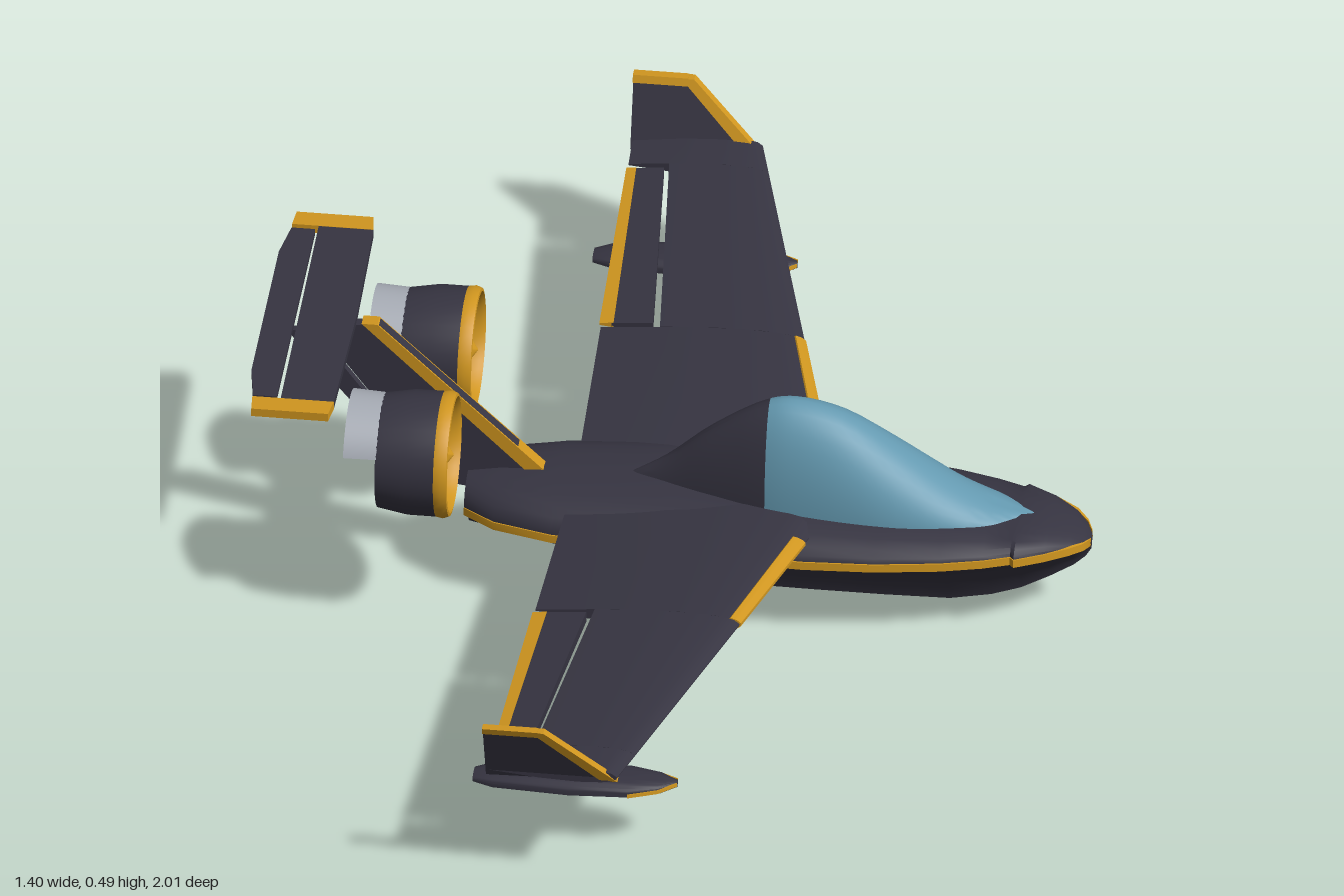
import * as THREE from 'three';
import { toCreasedNormals } from 'three/addons/utils/BufferGeometryUtils.js';

const material = (name, color, side = THREE.FrontSide) => {
  const m = new THREE.MeshStandardMaterial({ color, side });
  m.name = name;
  return m;
};

// Skin closed rings of [x, y, z] points and cap both ends
function loft(rings) {
  const n = rings[0].length, pos = rings.flat(2), idx = [];
  for (let i = 0; i < rings.length - 1; i++) {
    for (let j = 0; j < n; j++) {
      const a = i * n + j, b = i * n + (j + 1) % n;
      idx.push(a, b, a + n, b, b + n, a + n);
    }
  }
  const last = rings.length - 1;
  [0, last].forEach((r) => {
    const centre = pos.length / 3;
    for (let k = 0; k < 3; k++) pos.push(rings[r].reduce((t, p) => t + p[k], 0) / n);
    for (let j = 0; j < n; j++) {
      const a = r * n + j, b = r * n + (j + 1) % n;
      idx.push(...(r === 0 ? [b, a, centre] : [a, b, centre]));
    }
  });
  // Turn the faces outward if the enclosed volume is negative
  const v = (i) => new THREE.Vector3().fromArray(pos, i * 3);
  let volume = 0;
  for (let i = 0; i < idx.length; i += 3) volume += v(idx[i]).dot(v(idx[i + 1]).cross(v(idx[i + 2])));
  if (volume < 0) idx.reverse();
  const g = new THREE.BufferGeometry();
  g.setAttribute('position', new THREE.Float32BufferAttribute(pos, 3));
  g.setIndex(idx);
  return toCreasedNormals(g, 0.6);
}

// Flat outline in x and y, thickened equally to both sides
function plate(points, thickness) {
  const shape = new THREE.Shape(points.map(([x, y]) => new THREE.Vector2(x, y)));
  return new THREE.ExtrudeGeometry(shape, { depth: thickness, bevelEnabled: false }).translate(0, 0, -thickness / 2);
}

// Hull section: concave V bottom, short chine, rounded deck
function hullRing([x, w, top, chine, keel], zc = 0) {
  const half = [];
  for (const s of [0.05, 0.15, 0.35, 0.6, 0.85, 1]) half.push([s * w, keel + (chine - keel) * s ** 0.62]);
  const side = chine + Math.min(0.012, (top - chine) * 0.4);
  for (let i = 0; i <= 6; i++) {
    const a = (i / 6) * Math.PI / 2;
    half.push([w * Math.cos(a) ** 0.8, side + (top - side) * Math.sin(a)]);
  }
  const right = half.slice(0, -1).reverse().map(([z, y]) => [x, y, zc - z]);
  return [[x, keel, zc], ...half.map(([z, y]) => [x, y, zc + z]), ...right];
}

// Thin band following the chine on one side
const chineRing = ([x, w, , chine], s, zc, h) => [
  [x, chine, zc + s * (w + 0.003)], [x, chine + h, zc + s * (w + 0.002)],
  [x, chine + h, zc + s * w * 0.9], [x, chine, zc + s * w * 0.9],
];

// Wing section from leading edge back; c0..c1 is the part of the chord
function wingRing(z, s, c0, c1, grow = 0, c1Low = c1) {
  const k = (z - 0.16) / 0.8;
  const front = 0.23 - 0.21 * k, chord = front + 0.18 + 0.02 * k;
  const t = 0.038 - 0.014 * k, mid = 0.192 + 0.047 * k;
  const thick = (c) => 5 * t * (0.2969 * Math.sqrt(c) - 0.126 * c - 0.3516 * c * c + 0.2843 * c ** 3 - 0.1015 * c ** 4) + 0.001;
  const row = (end, sign) => [0, 0.04, 0.12, 0.3, 0.6, 1].map((u) => {
    const c = c0 + (end - c0) * u;
    return [front - c * chord + (c === 0 ? grow : 0), mid + sign * (thick(c) + grow), s * z];
  });
  return [...row(c1, 1), ...row(c1Low, -1).reverse()];
}

export function createModel() {
  const dark = material('charcoal paint', 0x363441);
  const gold = material('gold trim', 0xd0961f);
  const glass = material('canopy glass', 0x6499b0);
  const grey = material('light grey metal', 0xa6abb4, THREE.DoubleSide);
  const model = new THREE.Group();
  model.name = 'seaplane';
  const add = (name, geometry, mat, parent = model) => {
    const m = new THREE.Mesh(geometry, mat);
    m.name = name;
    parent.add(m);
    return m;
  };

  // Hull stations: x, half width, deck, chine, keel
  const hull = [
    [-0.355, 0.065, 0.198, 0.145, 0.09], [-0.3, 0.104, 0.208, 0.146, 0.077], [-0.2, 0.132, 0.213, 0.147, 0.052],
    [-0.03, 0.15, 0.215, 0.148, 0.01], [0, 0.153, 0.214, 0.148, 0.002], [0.23, 0.164, 0.206, 0.15, 0],
    [0.35, 0.157, 0.202, 0.15, 0], [0.46, 0.14, 0.197, 0.15, 0.002], [0.53, 0.122, 0.192, 0.15, 0.016],
    [0.575, 0.105, 0.189, 0.15, 0.032], [0.582, 0.113, 0.19, 0.15, 0.035], [0.63, 0.088, 0.182, 0.149, 0.062],
    [0.67, 0.06, 0.168, 0.147, 0.088], [0.69, 0.036, 0.157, 0.142, 0.107], [0.7, 0.012, 0.148, 0.137, 0.124],
  ];
  add('hull', loft(hull.map((h) => hullRing(h))), dark);

  // Canopy stations: x, half width, crown height
  const crown = [
    [-0.08, 0.012, 0.212], [-0.02, 0.03, 0.25], [0.06, 0.053, 0.318], [0.155, 0.076, 0.375], [0.2, 0.083, 0.381],
    [0.28, 0.09, 0.361], [0.38, 0.091, 0.298], [0.48, 0.076, 0.23], [0.55, 0.056, 0.2], [0.605, 0.012, 0.186],
  ];
  const crownCurve = new THREE.CatmullRomCurve3(crown.map((p) => new THREE.Vector3(...p)));
  const canopy = crownCurve.getPoints((crown.length - 1) * 4).map((p) => {
    const ring = [];
    for (let i = 0; i <= 20; i++) {
      const a = (i / 20) * Math.PI;
      ring.push([p.x, 0.17 + (p.z - 0.17) * Math.sin(a), p.y * Math.cos(a)]);
    }
    return ring;
  });
  add('canopyFairing', loft(canopy.slice(0, 13)), dark);
  add('canopyGlass', loft(canopy.slice(12)), glass);

  // Swept fin, rudder and gold leading edge
  add('fin', plate([[-0.21, 0.195], [-0.35, 0.165], [-0.45, 0.178], [-0.425, 0.21], [-0.615, 0.47], [-0.505, 0.478]], 0.02), dark);
  add('rudder', plate([[-0.434, 0.207], [-0.465, 0.21], [-0.662, 0.452], [-0.618, 0.458]], 0.014), dark);
  add('finLeadingEdge', plate([[-0.215, 0.2], [-0.25, 0.2], [-0.535, 0.48], [-0.508, 0.48]], 0.026), gold);

  // Tailplane with elevator and gold tips
  const flat = (points, t) => plate(points, t).rotateX(Math.PI / 2).translate(0, 0.479, 0);
  add('tailplane', flat([[-0.55, -0.262], [-0.545, 0], [-0.55, 0.262], [-0.64, 0.262], [-0.643, -0.262]], 0.014), dark);
  add('elevator', flat([[-0.648, -0.255], [-0.648, 0.255], [-0.688, 0.255], [-0.7, 0.18], [-0.7, -0.18], [-0.688, -0.255]], 0.01), dark);

  for (const s of [1, -1]) {
    const side = new THREE.Group();
    side.name = s > 0 ? 'leftSide' : 'rightSide';
    model.add(side);
    const put = (name, geometry, mat) => add(name, geometry, mat, side);
    const span = (z0, z1, ...rest) => loft([wingRing(z0, s, ...rest), wingRing(z1, s, ...rest)]);

    put('hullStripe', loft(hull.map((h) => chineRing(h, s, 0, 0.014))), gold);
    put('tailplaneTip', flat([[-0.55, s * 0.262], [-0.555, s * 0.3], [-0.685, s * 0.3], [-0.688, s * 0.262]], 0.015), gold);

    // Wing around the aileron opening
    put('innerWing', span(0.06, 0.43, 0, 1), dark);
    put('middleWing', span(0.43, 0.885, 0, 0.71), dark);
    put('outerWing', span(0.885, 0.962, 0, 1), dark);
    put('aileron', span(0.44, 0.873, 0.745, 0.95), dark);
    put('aileronEdge', span(0.44, 0.873, 0.94, 1.01, 0.001), gold);
    put('wingLeadingEdge', span(0.15, 0.43, 0, 0.045, 0.002, 0.14), gold);

    // Upswept winglet with gold front and top
    const lean = new THREE.Matrix4().set(1, 0, 0, 0, 0, 1, 0, 0, 0, s * 0.37, 1, s * (0.955 - 0.37 * 0.235), 0, 0, 0, 1);
    const winglet = (name, pts, t, mat) => put(name, plate(pts, t).applyMatrix4(lean), mat);
    winglet('winglet', [[-0.203, 0.225], [0.018, 0.232], [-0.1, 0.345], [-0.203, 0.345]], 0.012, dark);
    winglet('wingletFront', [[0.02, 0.23], [-0.1, 0.346], [-0.122, 0.346], [-0.008, 0.23]], 0.016, gold);
    winglet('wingletTop', [[-0.11, 0.334], [-0.11, 0.347], [-0.204, 0.347], [-0.204, 0.334]], 0.016, gold);

    // Wing float on an N of faired struts
    const zf = s * 0.79;
    const float = [
      [-0.245, 0.018, 0.118, 0.108, 0.1], [-0.21, 0.032, 0.126, 0.108, 0.092], [-0.08, 0.043, 0.132, 0.11, 0.084],
      [0.02, 0.04, 0.132, 0.112, 0.086], [0.07, 0.026, 0.13, 0.116, 0.098], [0.1, 0.006, 0.126, 0.12, 0.114],
    ];
    put('float', loft(float.map((f) => hullRing(f, zf))), dark);
    for (const e of [1, -1]) put('floatStripe', loft(float.slice(3).map((f) => chineRing(f, e, zf, 0.006))), gold);
    const strut = (xLow, xHigh) => {
      const ring = (x, y, z) => [[-1, -1], [1, -1], [1, 1], [-1, 1]].map(([a, b]) => [x + a * 0.015, y + b * 0.016, s * (z + b * 0.02)]);
      put('floatStrut', loft([ring(xLow, 0.12, 0.8), ring(xHigh, 0.203, 0.655)]), grey);
    };
    strut(-0.1, -0.085);
    strut(-0.02, 0.045);
    strut(-0.1, 0.03);

    // Ducted fan, built along y and laid onto x
    const engine = new THREE.Group();
    engine.name = 'ductedFan';
    engine.position.set(0, 0.328, s * 0.16);
    side.add(engine);
    const turned = (pts) => toCreasedNormals(new THREE.LatheGeometry(pts.map(([r, x]) => new THREE.Vector2(r, x)), 40).rotateZ(-Math.PI / 2), 0.6);
    add('duct', turned([[0.094, -0.38], [0.093, -0.43], [0.09, -0.482], [0.097, -0.482], [0.106, -0.43], [0.106, -0.38]]), dark, engine);
    add('ductLip', turned([[0.106, -0.382], [0.108, -0.37], [0.104, -0.36], [0.099, -0.359], [0.095, -0.367], [0.094, -0.382]]), gold, engine);
    add('spinner', turned([[0.001, -0.42], [0.025, -0.42], [0.025, -0.395], [0.018, -0.372], [0.001, -0.36]]), gold, engine);
    add('tailCone', turned([[0.001, -0.49], [0.014, -0.47], [0.022, -0.42]]), dark, engine);
    const shroud = new THREE.CylinderGeometry(0.097, 0.1, 0.058, 28, 1, true, Math.PI * 1.5 - 1.17, 2.34);
    add('exhaustShroud', shroud.rotateZ(-Math.PI / 2).translate(-0.507, 0, 0), grey, engine);
    for (let i = 0; i < 8; i++) {
      const blade = new THREE.BoxGeometry(0.004, 0.072, 0.026).rotateY(0.6).translate(-0.405, 0.057, 0);
      add('fanBlade', blade.rotateX((i * Math.PI) / 4 + 0.2), grey, engine);
    }
    put('enginePylon', new THREE.BoxGeometry(0.09, 0.016, 0.06).translate(-0.43, 0.328, s * 0.032), dark);
  }
  return model;
}
